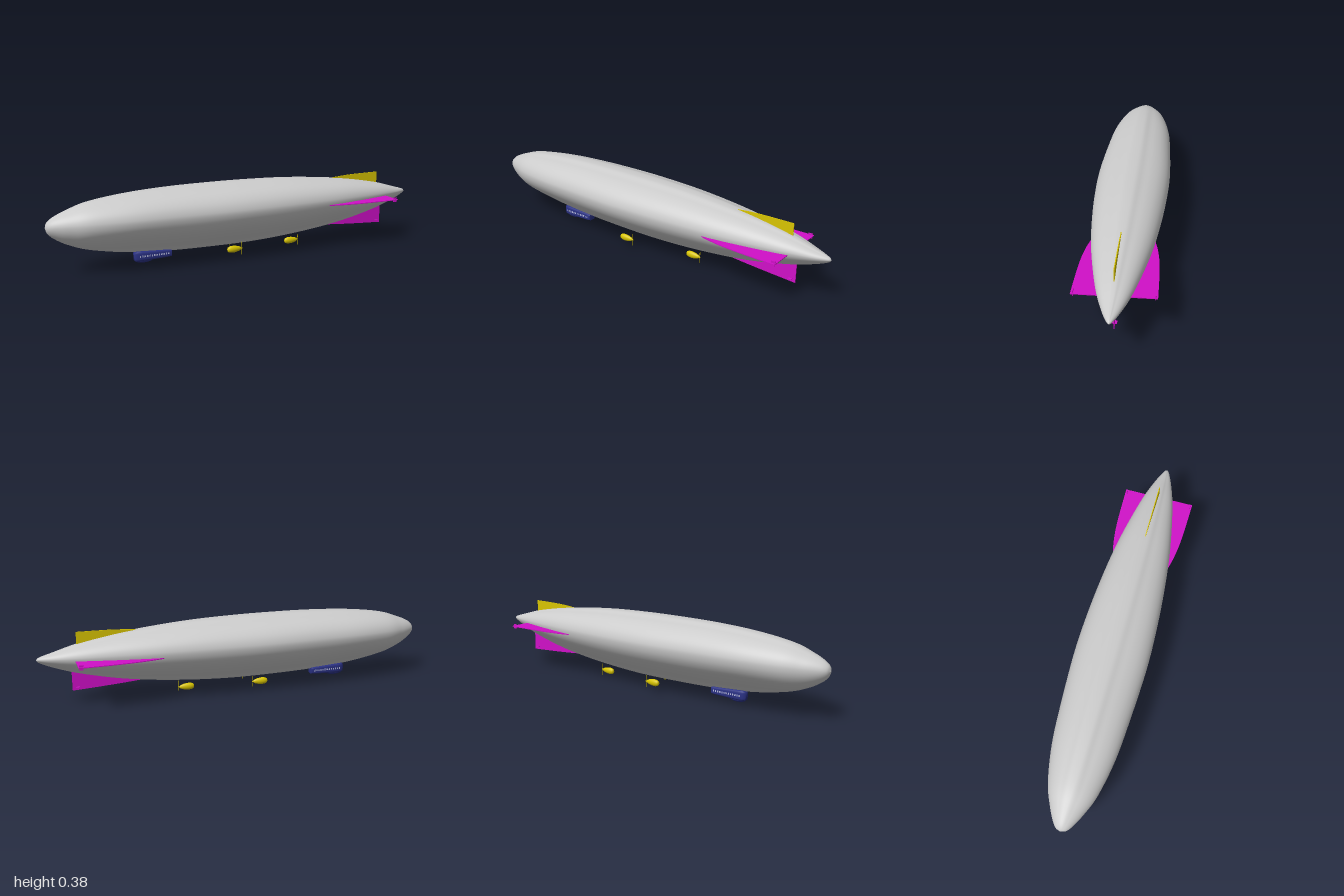
import * as THREE from 'three';

const paint = (color, side = THREE.FrontSide) => new THREE.MeshStandardMaterial({ color, side });
const grey = paint(0xcccccc);
const yellow = paint(0xd8c400);
const magenta = paint(0xd010c8);
const navy = paint(0x2a3184);
const pane = paint(0xb4b8dc);

function add(parent, name, geometry, material, x = 0, y = 0, z = 0) {
  const mesh = new THREE.Mesh(geometry, material);
  mesh.name = name;
  mesh.position.set(x, y, z);
  parent.add(mesh);
  return mesh;
}

// Skin over closed rings that run along +x, each going from the top towards +z
function loft(rings) {
  const n = rings[0].length, index = [];
  for (let i = 0; i < rings.length - 1; i++) {
    for (let j = 0; j < n; j++) {
      const a = i * n + j, c = i * n + (j + 1) % n;
      index.push(a, c, a + n, c, c + n, a + n);
    }
  }
  const geometry = new THREE.BufferGeometry();
  geometry.setAttribute('position', new THREE.Float32BufferAttribute(rings.flat(2), 3));
  geometry.setIndex(index);
  geometry.computeVertexNormals();
  return geometry;
}

// Hull: one pear-shaped section scaled along the length
function hullGeometry() {
  const axis = 0.24;
  const section = new THREE.CatmullRomCurve3([
    [0, 0.382], [0.03, 0.38], [0.06, 0.369], [0.1, 0.357], [0.14, 0.336], [0.17, 0.305],
    [0.184, 0.27], [0.183, 0.245], [0.173, 0.215], [0.15, 0.18], [0.11, 0.14],
    [0.065, 0.105], [0.035, 0.083], [0.015, 0.065], [0, 0.056],
  ].map(([z, y]) => new THREE.Vector3(0, y, z)));
  // x, top, bottom, half width
  const stations = [
    [-1, 0.241, 0.239, 0.001], [-0.99, 0.265, 0.212, 0.026], [-0.96, 0.287, 0.184, 0.05],
    [-0.9, 0.312, 0.15, 0.082], [-0.8, 0.343, 0.114, 0.122], [-0.62, 0.367, 0.08, 0.157],
    [-0.4, 0.38, 0.062, 0.174], [-0.15, 0.383, 0.056, 0.185], [0.05, 0.381, 0.057, 0.181],
    [0.25, 0.374, 0.068, 0.168], [0.45, 0.358, 0.088, 0.147], [0.62, 0.338, 0.114, 0.119],
    [0.8, 0.305, 0.156, 0.08], [0.92, 0.272, 0.196, 0.042], [0.985, 0.253, 0.225, 0.014],
    [1, 0.241, 0.239, 0.001],
  ];
  const along = new THREE.CatmullRomCurve3(stations.map(s => new THREE.Vector3(s[0])), false, 'catmullrom');
  const size = new THREE.CatmullRomCurve3(stations.map(s => new THREE.Vector3(s[1], s[2], s[3])), false, 'catmullrom');
  const half = section.getPoints(42);
  const outline = [...half, ...half.slice(1, -1).reverse().map(p => new THREE.Vector3(0, p.y, -p.z))];
  const rings = [];
  for (let i = 0; i <= 90; i++) {
    const x = THREE.MathUtils.clamp(along.getPoint(i / 90).x, -1, 1);
    const s = size.getPoint(i / 90);
    const round = 0.7 * THREE.MathUtils.smoothstep(-x, 0.55, 1);
    rings.push(outline.map(p => {
      const v = p.y > axis ? (p.y - axis) / 0.142 : (p.y - axis) / 0.184;
      const w = THREE.MathUtils.lerp(p.z / 0.185, Math.sign(p.z) * Math.sqrt(Math.max(0, 1 - v * v)), round);
      return [x, axis + v * (v > 0 ? s.x - axis : axis - s.y), w * s.z];
    }));
  }
  return loft(rings);
}

// Thin fin: curved outer edge, straight trailing edge, root buried in the hull
function finGeometry(edge, root) {
  const shape = new THREE.Shape();
  shape.moveTo(...edge[0]);
  shape.splineThru(edge.slice(1).map(p => new THREE.Vector2(...p)));
  shape.lineTo(edge[edge.length - 1][0], root);
  const geometry = new THREE.ExtrudeGeometry(shape, { depth: 0.004, bevelEnabled: false });
  return geometry.translate(0, 0, -0.002);
}

function tailFins() {
  const fins = new THREE.Group();
  fins.name = 'tailFins';
  add(fins, 'topFin', finGeometry([[0.47, 0.345], [0.55, 0.354], [0.65, 0.36], [0.81, 0.362]], 0.27), yellow);
  add(fins, 'bottomFin', finGeometry([[0.46, 0.1], [0.55, 0.092], [0.68, 0.083], [0.84, 0.074]], 0.19), magenta);
  add(fins, 'bottomFinTab', new THREE.BoxGeometry(0.02, 0.003, 0.024), magenta, 0.815, 0.09);
  for (const side of [1, -1]) {
    const name = side > 0 ? 'front' : 'rear';
    const fin = finGeometry([[0.41, 0.145], [0.5, 0.165], [0.62, 0.178], [0.825, 0.184]], 0.03);
    add(fins, name + 'SideFin', fin.rotateX(side * Math.PI / 2), magenta, 0, 0.237, 0);
    add(fins, name + 'SideFinTab', new THREE.BoxGeometry(0.02, 0.024, 0.003), magenta, 0.812, 0.237, side * 0.174);
  }
  return fins;
}

// Rounded-box body lofted from stations of x, top, bottom, half width
function cabinGeometry(stations) {
  const round = v => Math.sign(v) * Math.abs(v) ** 0.5;
  return loft(stations.map(([x, top, bottom, w]) => Array.from({ length: 32 }, (_, j) => {
    const a = j / 32 * Math.PI * 2;
    return [x, (top + bottom) / 2 + round(Math.cos(a)) * (top - bottom) / 2, round(Math.sin(a)) * w];
  })));
}

// Gondola: long cabin, deeper forward keel, and a row of windows
function gondola() {
  const group = new THREE.Group();
  group.name = 'gondola';
  add(group, 'cabin', cabinGeometry([
    [-0.588, 0.055, 0.054, 0.001], [-0.587, 0.075, 0.034, 0.012], [-0.575, 0.08, 0.03, 0.02],
    [-0.55, 0.08, 0.029, 0.023], [-0.42, 0.074, 0.034, 0.023], [-0.402, 0.07, 0.036, 0.021],
    [-0.4, 0.07, 0.036, 0.02], [-0.4, 0.053, 0.052, 0.001],
  ]), navy);
  add(group, 'forwardKeel', new THREE.SphereGeometry(1, 24, 16).scale(0.048, 0.016, 0.018), navy, -0.538, 0.035);
  for (const side of [1, -1]) {
    for (let i = 0; i < 13; i++) {
      add(group, 'window', new THREE.BoxGeometry(0.006, 0.009, 0.002), pane, -0.562 + i * 0.012, 0.055, side * 0.0228);
    }
  }
  return group;
}

// Engine pod with a blunt nose, tapered tail and two-bladed pusher propeller
function engine(name, x, y, z) {
  const group = new THREE.Group();
  group.name = name;
  const profile = new THREE.SplineCurve([
    [0, -0.04], [0.009, -0.037], [0.014, -0.022], [0.014, 0], [0.01, 0.022], [0.005, 0.034], [0, 0.037],
  ].map(p => new THREE.Vector2(...p))).getPoints(20).map(p => p.setX(Math.max(0, p.x)));
  const pod = new THREE.LatheGeometry(profile, 24).rotateZ(-Math.PI / 2).scale(1, 1.2, 0.9);
  add(group, 'pod', pod, yellow);
  add(group, 'propellerHub', new THREE.CylinderGeometry(0.003, 0.004, 0.01, 12).rotateZ(-Math.PI / 2), yellow, 0.037);
  for (const side of [1, -1]) {
    const blade = new THREE.SphereGeometry(1, 12, 8).scale(0.001, 0.017, 0.0025);
    add(group, 'propellerBlade', blade, yellow, 0.039, side * 0.0165);
  }
  group.position.set(x, y, z);
  return group;
}

export function createModel() {
  const model = new THREE.Group();
  model.name = 'airship';
  add(model, 'hull', hullGeometry(), grey);
  model.add(
    tailFins(),
    gondola(),
    engine('frontSideEngine', -0.088, 0.05, 0.077),
    engine('rearSideEngine', -0.088, 0.05, -0.077),
    engine('centreEngine', 0.278, 0.035, 0),
  );
  return model;
}
